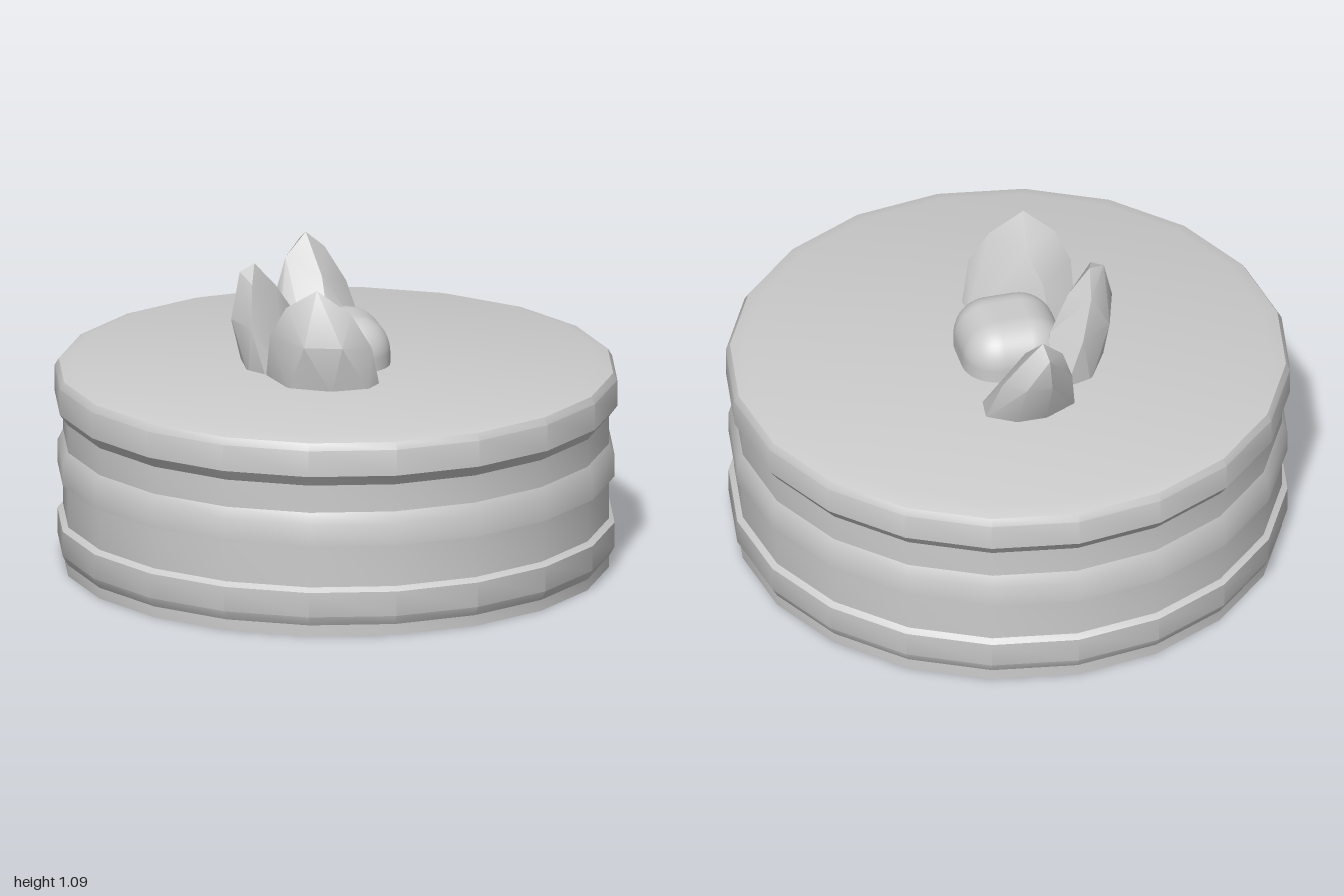
import * as THREE from 'three';
import { toCreasedNormals } from 'three/addons/utils/BufferGeometryUtils.js';
import { RoundedBoxGeometry } from 'three/addons/geometries/RoundedBoxGeometry.js';
import { ConvexGeometry } from 'three/addons/geometries/ConvexGeometry.js';

const TOP = 0.735;

export function createModel() {
  const group = new THREE.Group();
  const material = new THREE.MeshStandardMaterial({ color: 0xcccccc });

  const add = (name, geometry) => {
    const mesh = new THREE.Mesh(geometry, material);
    mesh.name = name;
    group.add(mesh);
    return mesh;
  };

  // Cake layers: stacked 20-sided rings, profiles as [radius, height]
  const layer = (name, profile) => {
    const points = profile.map(([r, y]) => new THREE.Vector2(r, y));
    add(name, toCreasedNormals(new THREE.LatheGeometry(points, 20), 0.55));
  };
  layer('bottomSponge', [[0, 0], [0.97, 0], [0.97, 0.04]]);
  layer('lowerFilling', [[0.97, 0.04], [0.99, 0.075], [0.99, 0.165], [0.97, 0.18]]);
  layer('middleSponge', [[0.97, 0.18], [0.97, 0.335]]);
  layer('upperFilling', [[0.97, 0.335], [0.99, 0.335], [0.99, 0.415], [0.97, 0.455]]);
  layer('topSponge', [[0.97, 0.455], [0.97, 0.555]]);
  layer('icing', [[0.97, 0.555], [1, 0.595], [1, 0.69], [0.985, 0.715], [0.93, 0.733], [0, TOP]]);

  // Rounded cream dollop in the middle of the topping
  add('creamDollop', new RoundedBoxGeometry(0.365, 0.4, 0.365, 5, 0.13)).position.set(0, 0.71, -0.003);

  // Faceted fruit pieces: footprint [x, z] on the icing, and upper corners [x, y, z]
  const fruit = (name, footprint, corners) => {
    const points = footprint.map(([x, z]) => new THREE.Vector3(x, TOP - 0.015, z));
    corners.forEach((c) => points.push(new THREE.Vector3(...c)));
    add(name, toCreasedNormals(new ConvexGeometry(points), 0.6));
  };

  fruit('frontFruit',
    [[-0.28, 0.12], [-0.24, 0.3], [-0.1, 0.38], [0.04, 0.37], [0.09, 0.31], [0.08, 0.25], [-0.1, 0.14], [-0.18, 0.07]],
    [[-0.14, 1.09, 0.32], [-0.24, 1.02, 0.27], [-0.02, 1.0, 0.34], [-0.29, 0.91, 0.23], [-0.2, 0.9, 0.38],
      [-0.07, 0.9, 0.42], [0.05, 0.88, 0.36], [-0.12, 1.0, 0.2], [-0.16, 0.9, 0.12]]);

  fruit('rightFruit',
    [[-0.33, 0.05], [-0.28, 0.12], [-0.2, 0.09], [-0.08, -0.12], [-0.07, -0.21], [-0.14, -0.27], [-0.24, -0.24], [-0.32, -0.1]],
    [[-0.28, 1.09, -0.07], [-0.34, 1.07, -0.04], [-0.26, 1.03, -0.17], [-0.31, 1.04, 0.03], [-0.38, 0.91, 0],
      [-0.33, 0.9, -0.16], [-0.21, 0.91, -0.25], [-0.33, 0.9, 0.1], [-0.2, 1.0, -0.08], [-0.12, 0.88, -0.13]]);

  fruit('backFruit',
    [[-0.15, -0.27], [-0.15, -0.36], [-0.03, -0.42], [0.08, -0.42], [0.18, -0.36], [0.17, -0.27], [0.09, -0.2], [-0.06, -0.2]],
    [[-0.01, 1.08, -0.45], [-0.02, 1.04, -0.51], [0.06, 1.02, -0.46], [-0.09, 1.0, -0.42], [0.06, 0.92, -0.5],
      [-0.03, 0.92, -0.51], [0.13, 0.9, -0.42], [-0.13, 0.88, -0.4], [0.02, 0.95, -0.32], [0.02, 0.87, -0.26]]);

  return group;
}
